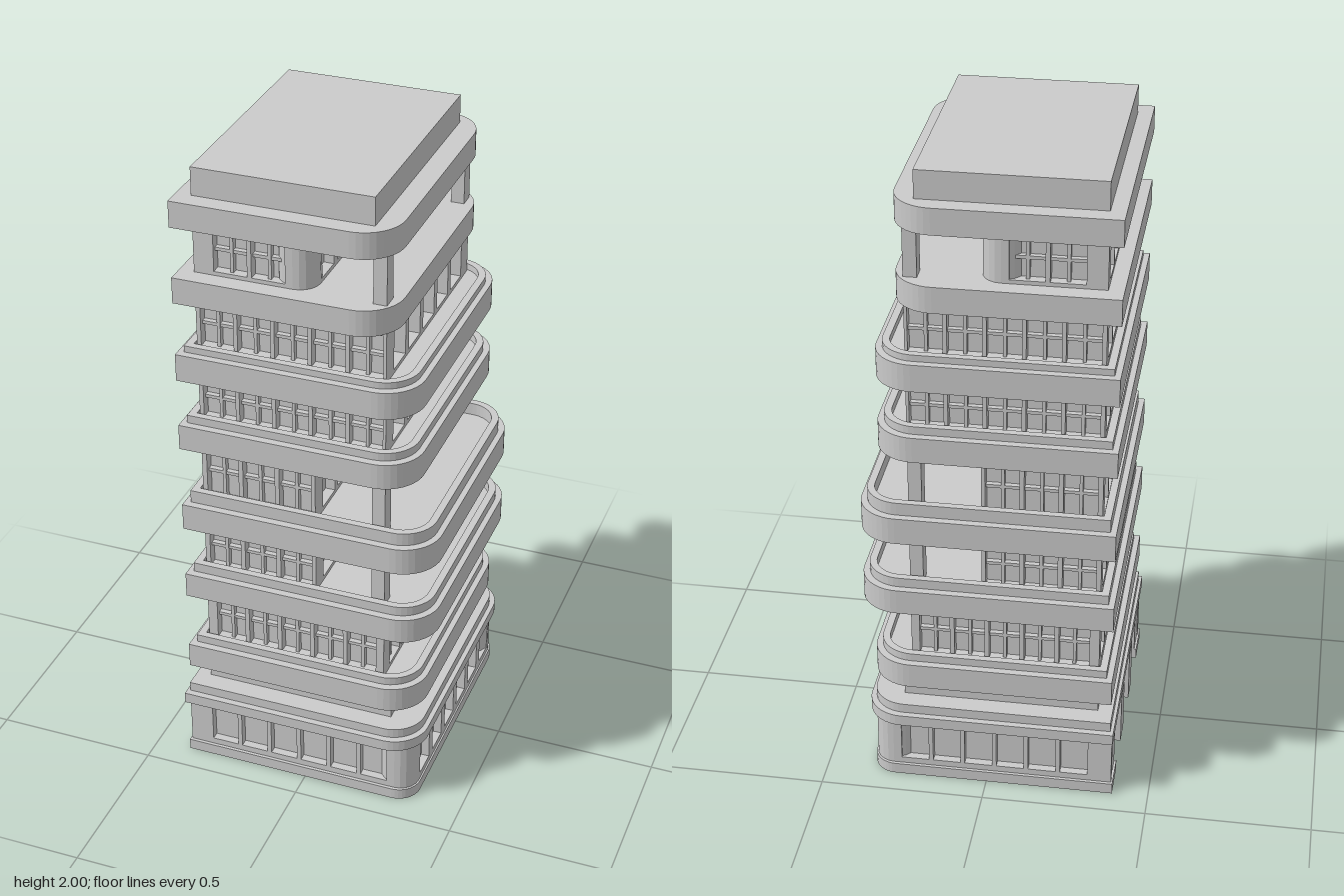
import * as THREE from 'three';

const mat = new THREE.MeshStandardMaterial({ color: 0xcccccc, flatShading: true });

function add(parent, name, geo, x = 0, y = 0, z = 0) {
  const m = new THREE.Mesh(geo, mat);
  m.name = name;
  m.position.set(x, y, z);
  parent.add(m);
  return m;
}

// Box given by its limits on each axis
function block(parent, name, x0, x1, y0, y1, z0, z1) {
  return add(parent, name, new THREE.BoxGeometry(x1 - x0, y1 - y0, z1 - z0),
    (x0 + x1) / 2, (y0 + y1) / 2, (z0 + z1) / 2);
}

// Plan outline: square corners on -x, rounded corners on +x
function outline(target, x0, x1, hz, r) {
  target.moveTo(x0, -hz);
  target.lineTo(x1 - r, -hz);
  target.absarc(x1 - r, -hz + r, r, -Math.PI / 2, 0, false);
  target.lineTo(x1, hz - r);
  target.absarc(x1 - r, hz - r, r, 0, Math.PI / 2, false);
  target.lineTo(x0, hz);
  target.closePath();
  return target;
}

// Horizontal slab, or a hollow rim when a wall thickness is given
function slab(parent, name, x0, x1, hz, r, y0, y1, rim = 0) {
  const s = outline(new THREE.Shape(), x0, x1, hz, r);
  if (rim) s.holes.push(outline(new THREE.Path(), x0 + rim, x1 - rim, hz - rim, r - rim));
  const g = new THREE.ExtrudeGeometry(s, { depth: y1 - y0, bevelEnabled: false, curveSegments: 5 });
  g.rotateX(-Math.PI / 2);
  return add(parent, name, g, 0, y0, 0);
}

// Wall panel from u0 to u1 with a row of openings; o = { n, a, b, w, y0, y1, bars }
function panel(parent, name, u0, u1, y0, y1, depth, o) {
  const g = new THREE.Group();
  g.name = name;
  const s = new THREE.Shape();
  s.moveTo(u0, y0); s.lineTo(u1, y0); s.lineTo(u1, y1); s.lineTo(u0, y1); s.closePath();
  for (let i = 0; i < o.n; i++) {
    const l = o.a + (o.b - o.a - o.w) * (o.n > 1 ? i / (o.n - 1) : 0), r = l + o.w;
    const h = new THREE.Path();
    h.moveTo(l, o.y0); h.lineTo(l, o.y1); h.lineTo(r, o.y1); h.lineTo(r, o.y0); h.closePath();
    s.holes.push(h);
    if (o.bars) {
      const c = (l + r) / 2, m = (o.y0 + o.y1) / 2, t = 0.005, z = depth * 0.6;
      block(g, 'mullion', c - t, c + t, o.y0, o.y1, 0, z);
      block(g, 'glazingBar', l, r, m - t, m + t, 0, z - 0.002);
    }
  }
  add(g, 'wall', new THREE.ExtrudeGeometry(s, { depth, bevelEnabled: false }));
  parent.add(g);
  return g;
}

// Turn a panel so that it faces outwards on one side of the building
function face(p, side, outer, depth) {
  const d = outer - depth;
  if (side === 'front') p.position.z = d;
  if (side === 'back') { p.position.z = -d; p.scale.z = -1; }
  if (side === 'right') { p.position.x = d; p.rotation.y = Math.PI / 2; }
  if (side === 'left') { p.position.x = -d; p.rotation.y = -Math.PI / 2; }
}

// One storey: glazed core, window walls and optional terrace posts
function storey(parent, f) {
  const g = new THREE.Group();
  g.name = f.name;
  parent.add(g);
  const X0 = -0.335, Z = 0.36, d = 0.03, { y0, y1, x1 } = f;
  const rd = f.sideDepth, r = f.round || 0;
  const wy = { y0: y0 + 0.012, y1: y1 - 0.015 };
  block(g, 'glazedCore', X0 + d, x1 - rd, y0, y1, -Z + d, Z - d);
  for (const side of ['front', 'back']) {
    face(panel(g, side + 'Windows', X0, x1 - r, y0, y1, d,
      { n: f.n, a: f.a, b: f.b, w: f.w, ...wy, bars: true }), side, Z, d);
  }
  const e = Z - Math.max(d, r);
  const sideRow = f.glazedSide
    ? { n: 6, a: -0.305, b: 0.305, w: 0.09, ...wy, bars: true }
    : { n: 5, a: -0.297, b: 0.297, w: 0.097, ...wy };
  face(panel(g, 'sideOpenings', -e, e, y0, y1, rd, sideRow), 'right', x1, rd);
  face(panel(g, 'rearWindows', -Z + d, Z - d, y0, y1, d,
    { n: 6, a: -0.315, b: 0.315, w: 0.095, ...wy, bars: true }), 'left', -X0, d);
  for (const s of [-1, 1]) {
    if (r) add(g, 'roundedCorner', new THREE.CylinderGeometry(r, r, y1 - y0, 20),
      x1 - r, (y0 + y1) / 2, s * (Z - r));
    if (f.posts) add(g, 'terracePost', new THREE.BoxGeometry(0.04, y1 - y0, 0.05),
      0.215, (y0 + y1) / 2, s * 0.335);
  }
}

// Ground floor with recessed panels, rounded corners and an open pillared side
function groundFloor(parent) {
  const g = new THREE.Group();
  g.name = 'groundFloor';
  parent.add(g);
  const d = 0.025, r = 0.06, x0 = -0.385, x1 = 0.35, Z = 0.41, y0 = 0.035, y1 = 0.2;
  slab(g, 'plinth', -0.335, 0.355, 0.42, 0.07, 0, y0);
  block(g, 'core', -0.335, x1 - d, y0, y1, -Z + d, Z - d);
  for (const side of ['front', 'back']) {
    face(panel(g, side + 'Panels', x0, x1 - r, y0, y1, d,
      { n: 6, a: -0.312, b: 0.265, w: 0.085, y0: 0.055, y1: 0.18 }), side, Z, d);
  }
  face(panel(g, 'sidePanels', -Z + r, Z - r, y0, y1, d,
    { n: 6, a: -0.34, b: 0.34, w: 0.085, y0: 0.055, y1: 0.18 }), 'right', x1, d);
  for (const s of [-1, 1]) {
    add(g, 'roundedCorner', new THREE.CylinderGeometry(r, r, y1 - y0, 20),
      x1 - r, (y0 + y1) / 2, s * (Z - r));
    block(g, 'cornerFoot', -0.39, -0.335, 0, y0, s * 0.36 - 0.06, s * 0.36 + 0.06);
    block(g, 'cornerPillar', -0.383, -0.335, y0, y1, s * 0.345 - 0.045, s * 0.345 + 0.045);
    block(g, 'pillar', -0.388, -0.335, 0, 0.17, s * 0.115 - 0.04, s * 0.115 + 0.04);
  }
  block(g, 'lintel', -0.383, -0.335, 0.17, y1, -0.3, 0.3);
  slab(g, 'cornice', -0.39, 0.37, 0.44, 0.11, y1, 0.235);
  slab(g, 'upperStep', -0.38, 0.355, 0.42, 0.1, 0.235, 0.265);
  block(g, 'neck', -0.335, 0.26, 0.265, 0.33, -0.36, 0.36);
}

export function createModel() {
  const tower = new THREE.Group();
  tower.name = 'tower';
  groundFloor(tower);

  // Balcony slabs: bottom, top, rim top, outer x
  const slabs = [
    [0.33, 0.41, 0.435, 0.355],
    [0.595, 0.675, 0.705, 0.388],
    [0.84, 0.925, 0.965, 0.388],
    [1.12, 1.2, 1.225, 0.33],
    [1.35, 1.435, 1.455, 0.33],
    [1.6, 1.68, 0, 0.265],
    [1.835, 1.915, 0, 0.265],
  ];
  for (const [b, t, rim, x] of slabs) {
    slab(tower, 'balconySlab', -0.38, x, 0.415, 0.12, b, t);
    if (rim) slab(tower, 'balconyRim', -0.362, x - 0.018, 0.392, 0.105, t, rim, 0.022);
  }

  // Storeys between the slabs
  const open = { x1: 0.02, n: 3, a: -0.32, b: 0.008, w: 0.1, sideDepth: 0.03, posts: true };
  const full = { x1: 0.235, n: 5, a: -0.322, b: 0.226, w: 0.1, sideDepth: 0.07 };
  const storeys = [
    { ...full, name: 'secondFloor', a: -0.305, b: 0.21, w: 0.092, sideDepth: 0.03, glazedSide: true },
    { ...open, name: 'lowerTerraceFloor' },
    { ...open, name: 'upperTerraceFloor' },
    { ...full, name: 'fifthFloor' },
    { ...full, name: 'sixthFloor' },
    { ...open, name: 'topFloor', n: 2, a: -0.275, b: -0.062, round: 0.06 },
  ];
  storeys.forEach((f, i) => storey(tower, { ...f, y0: slabs[i][1], y1: slabs[i + 1][0] }));

  block(tower, 'roofBlock', -0.335, 0.2, 1.915, 2, -0.36, 0.36);
  return tower;
}
